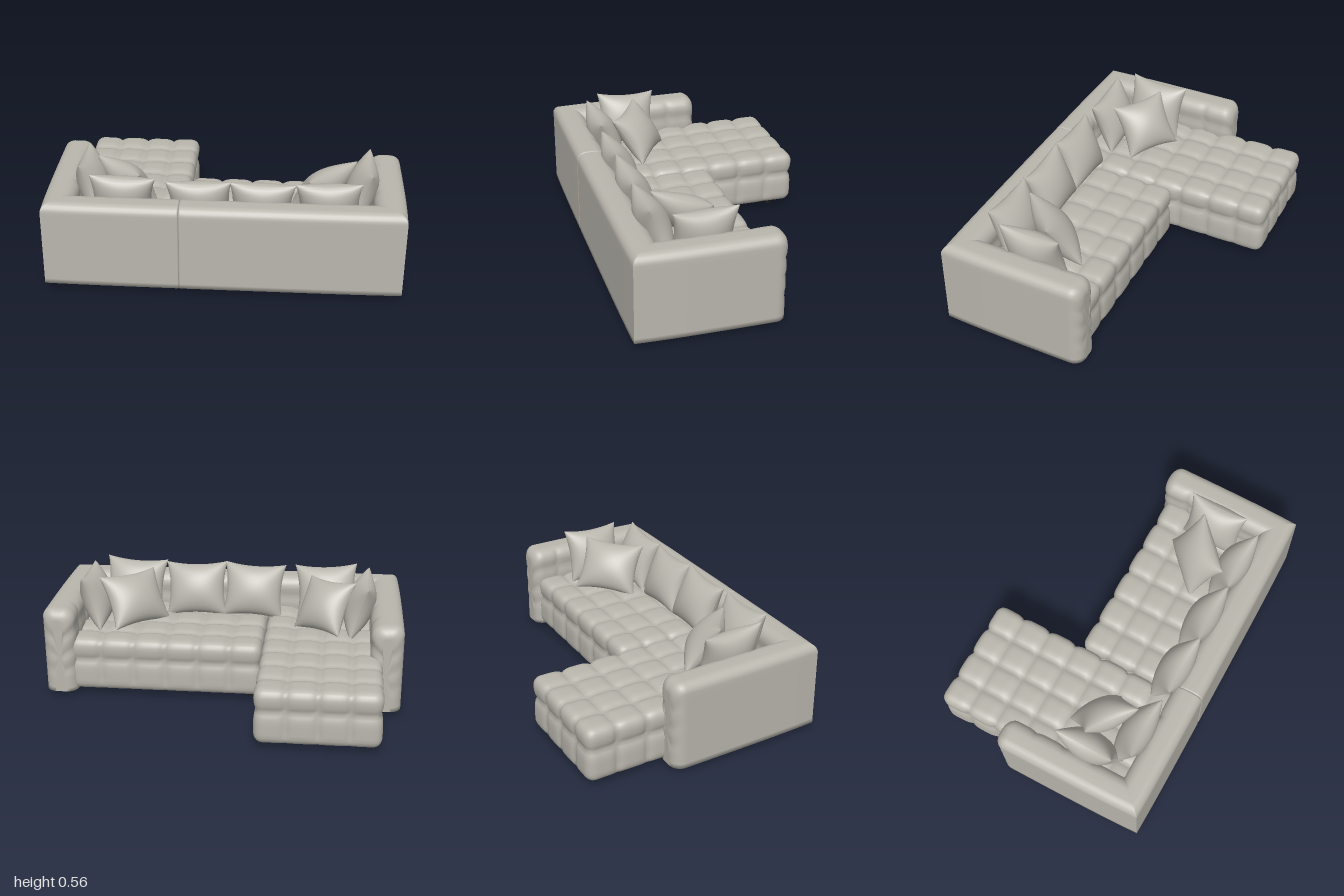
import * as THREE from 'three';
import { mergeVertices, mergeGeometries } from 'three/addons/utils/BufferGeometryUtils.js';

const fabric = new THREE.MeshStandardMaterial({ color: 0xb9b6ad });
fabric.name = 'warm grey fabric';
const legBlack = new THREE.MeshStandardMaterial({ color: 0x1c1c1c });
legBlack.name = 'black feet';

const FLOOR = 0.027, WIDTH = 1.737, SPLIT = 0.66, THICK = 0.145, TOP = 0.46;

// 1 on a seam line, falling off to 0 half a cell away
const crease = (a, seams, half) =>
  Math.max(0, ...seams.map((s) => 1 - Math.abs(a - s) / half)) ** 4;
const evenSeams = (a, b, n) => Array.from({ length: n - 1 }, (_, i) => a + ((b - a) * (i + 1)) / n);

function mesh(name, geometry, material = fabric) {
  const m = new THREE.Mesh(geometry, material);
  m.name = name;
  return m;
}

// Rounded block pulled in along a grid of seams; u runs along the back, v runs forward
function tuftedSeat(name, u0, u1, v0, v1, nu, nv) {
  const y1 = 0.302, r = 0.045, depth = 0.015;
  const half = new THREE.Vector3((u1 - u0) / 2, (y1 - FLOOR) / 2, (v1 - v0) / 2);
  let g = new THREE.BoxGeometry(half.x * 2, half.y * 2, half.z * 2, nu * 10, 15, nv * 10);
  g.deleteAttribute('uv');
  g.deleteAttribute('normal');
  g = mergeVertices(g);
  const seamsX = evenSeams(-half.x, half.x, nu), seamsZ = evenSeams(-half.z, half.z, nv);
  const seamY = [-half.y + half.y * 2 * 0.6];
  const inner = half.clone().subScalar(r), p = new THREE.Vector3(), c = new THREE.Vector3(), d = new THREE.Vector3();
  const pos = g.attributes.position;
  for (let i = 0; i < pos.count; i++) {
    p.fromBufferAttribute(pos, i);
    c.copy(p).clamp(inner.clone().negate(), inner);
    d.copy(p).sub(c).normalize();
    let dent = crease(p.x, seamsX, half.x / nu) * (1 - d.x * d.x)
      + crease(p.z, seamsZ, half.z / nv) * (1 - d.z * d.z)
      + crease(p.y, seamY, 0.09) * (1 - d.y * d.y);
    dent = Math.min(dent, 1.3) * (1 + Math.min(0, d.y));
    p.copy(c).addScaledVector(d, r - depth * dent);
    pos.setXYZ(i, p.x, p.y, p.z);
  }
  g.computeVertexNormals();
  const m = mesh(name, g);
  m.position.set((u0 + u1) / 2, (y1 + FLOOR) / 2, -(v0 + v1) / 2);
  return m;
}

// Cross-section of arms and back: w is measured inward from the outer face
function wallProfile() {
  const pts = [];
  const line = (w, a, b, n) => { for (let i = 0; i < n; i++) pts.push([w, a + ((b - a) * i) / n]); };
  const arc = (w, y, r, from) => {
    for (let i = 0; i <= 6; i++) {
      const a = from - (i / 6) * Math.PI / 2;
      pts.push([w + Math.cos(a) * r, y + Math.sin(a) * r]);
    }
  };
  line(0, FLOOR, TOP - 0.045, 16);
  arc(0.045, TOP - 0.045, 0.045, Math.PI);
  arc(THICK - 0.055, TOP - 0.055, 0.055, Math.PI / 2);
  line(THICK, TOP - 0.065, FLOOR, 18);
  pts.push([THICK, FLOOR]);
  return pts;
}

// Wall swept from a mitred corner to a rounded tip; place(s, w) gives its plan position
function wall(name, length, round, flare, flip, place) {
  const prof = wallProfile(), n = prof.length, body = 48, cap = 8;
  const rows = [0.16, 0.26, 0.36];
  const columns = evenSeams(THICK, length, Math.round((length - THICK) / 0.15));
  const verts = [], index = [];
  const tri = (a, b, c) => (flip ? index.push(a, c, b) : index.push(a, b, c));
  const bulge = (s) => flare * (1 - Math.exp(-Math.max(0, s) / 0.2));
  for (let i = 0; i <= body + cap; i++) {
    const a = (Math.max(0, i - body) / cap) * Math.PI / 2;
    const inset = round * (1 - Math.cos(a));
    for (const [w0, y0] of prof) {
      const start = length - round;
      let s = i <= body ? w0 + (start - w0) * (i / body) : start + round * Math.sin(a);
      const inside = Math.min(1, Math.max(0, (w0 - 0.09) / 0.05));
      let w = w0 - 0.01 * inside * Math.min(1, crease(y0, rows, 0.05) + crease(s, columns, 0.075));
      if (round > 0.03) s -= 0.012 * Math.sin(a) * crease(y0, rows, 0.05);
      w = THICK / 2 + (w - THICK / 2) * (1 - inset / (THICK / 2));
      w -= bulge(s - w0) * (1 - w0 / THICK);
      const y = FLOOR + (y0 - FLOOR) * (1 - inset / (TOP - FLOOR));
      const [x, z] = place(s, w);
      verts.push(x, y, z);
    }
  }
  for (let i = 0; i < body + cap; i++) for (let j = 0; j < n; j++) {
    const k = (j + 1) % n, a = i * n + j, b = a + n, c = (i + 1) * n + k, d = i * n + k;
    tri(a, b, c);
    tri(a, c, d);
  }
  // close the tip
  const [cx, cz] = place(length, THICK / 2), centre = verts.length / 3, last = (body + cap) * n;
  verts.push(cx, 0.21, cz);
  for (let j = 0; j < n; j++) tri(centre, last + ((j + 1) % n), last + j);
  const g = new THREE.BufferGeometry();
  g.setAttribute('position', new THREE.Float32BufferAttribute(verts, 3));
  g.setIndex(index);
  g.computeVertexNormals();
  return mesh(name, g);
}

// Two domed faces with pinched sides and pointed corners
function pillowGeometry(w, h, thick) {
  const face = new THREE.PlaneGeometry(2, 2, 20, 20), pos = face.attributes.position;
  for (let i = 0; i < pos.count; i++) {
    const s = Math.sin(pos.getX(i) * Math.PI / 2), t = Math.sin(pos.getY(i) * Math.PI / 2);
    const dome = Math.max(0, (1 - s * s) * (1 - t * t)) ** 0.5;
    const wrinkle = 1 + 0.05 * Math.sin(5 * s + 3 * t) * (1 - dome);
    pos.setXYZ(i, s * w / 2 * (1 - 0.12 * (1 - t * t)), t * h / 2 * (1 - 0.12 * (1 - s * s)), thick / 2 * dome * wrinkle);
  }
  face.computeVertexNormals();
  return mergeGeometries([face, face.clone().rotateY(Math.PI)]);
}

export function createModel() {
  const model = new THREE.Group();
  model.name = 'cornerSofa';
  const sofa = new THREE.Group();
  sofa.name = 'sofaBody';
  sofa.rotation.y = -0.887;
  sofa.position.set(-0.817, 0, -0.352);
  model.add(sofa);

  // Seats
  sofa.add(tuftedSeat('chaiseSeat', 0.085, 0.672, 0.1, 1.168, 4, 7));
  sofa.add(tuftedSeat('longSeat', 0.672, 1.63, 0.1, 0.685, 6, 4));
  const base = mesh('basePanel', new THREE.BoxGeometry(1.53, 0.06, 0.54));
  base.position.set(0.865, FLOOR + 0.032, -0.37);
  sofa.add(base);

  // Arms and backrests, meeting in mitred corners
  sofa.add(wall('chaiseArm', 0.78, 0.055, 0.012, true, (s, w) => [w, -s]));
  sofa.add(wall('chaiseBack', SPLIT, 0.008, 0.007, false, (s, w) => [s, -w]));
  sofa.add(wall('longBack', WIDTH - SPLIT, 0.008, 0.007, true, (s, w) => [WIDTH - s, -w]));
  sofa.add(wall('longArm', 0.71, 0.055, 0.014, false, (s, w) => [WIDTH - w, -s]));

  // Pillows: u, y, v, facing, lean, roll, width
  const half = Math.PI / 2;
  [
    [0.2, 0.42, 0.365, half, 0.3, -0.04, 0.31],
    [0.375, 0.41, 0.385, 2.45, 0.6, 0.1, 0.285],
    [0.37, 0.415, 0.2, Math.PI, 0.38, 0.05, 0.32],
    [0.75, 0.405, 0.19, Math.PI, 0.38, -0.04, 0.32],
    [1.05, 0.405, 0.19, Math.PI, 0.38, 0.03, 0.32],
    [1.375, 0.415, 0.185, Math.PI, 0.38, -0.05, 0.32],
    [1.54, 0.42, 0.375, -half, 0.3, -0.02, 0.31],
    [1.345, 0.41, 0.375, -2.35, 0.6, -0.06, 0.33],
  ].forEach(([u, y, v, yaw, lean, roll, width], i) => {
    const p = mesh('pillow' + (i + 1), pillowGeometry(width, 0.285, 0.155));
    p.position.set(u, y, -v);
    p.rotation.set(-lean, yaw, roll, 'YXZ');
    sofa.add(p);
  });

  // Feet
  const foot = new THREE.CylinderGeometry(0.019, 0.018, 0.04, 16);
  [[0.06, 0.06], [0.6, 0.05], [0.73, 0.05], [1.69, 0.05], [1.69, 0.58], [0.73, 0.6],
    [0.603, 1.06], [0.16, 1.06], [0.06, 0.6]].forEach(([u, v], i) => {
    const f = mesh('foot' + (i + 1), foot, legBlack);
    f.position.set(u, 0.02, -v);
    sofa.add(f);
  });
  return model;
}
